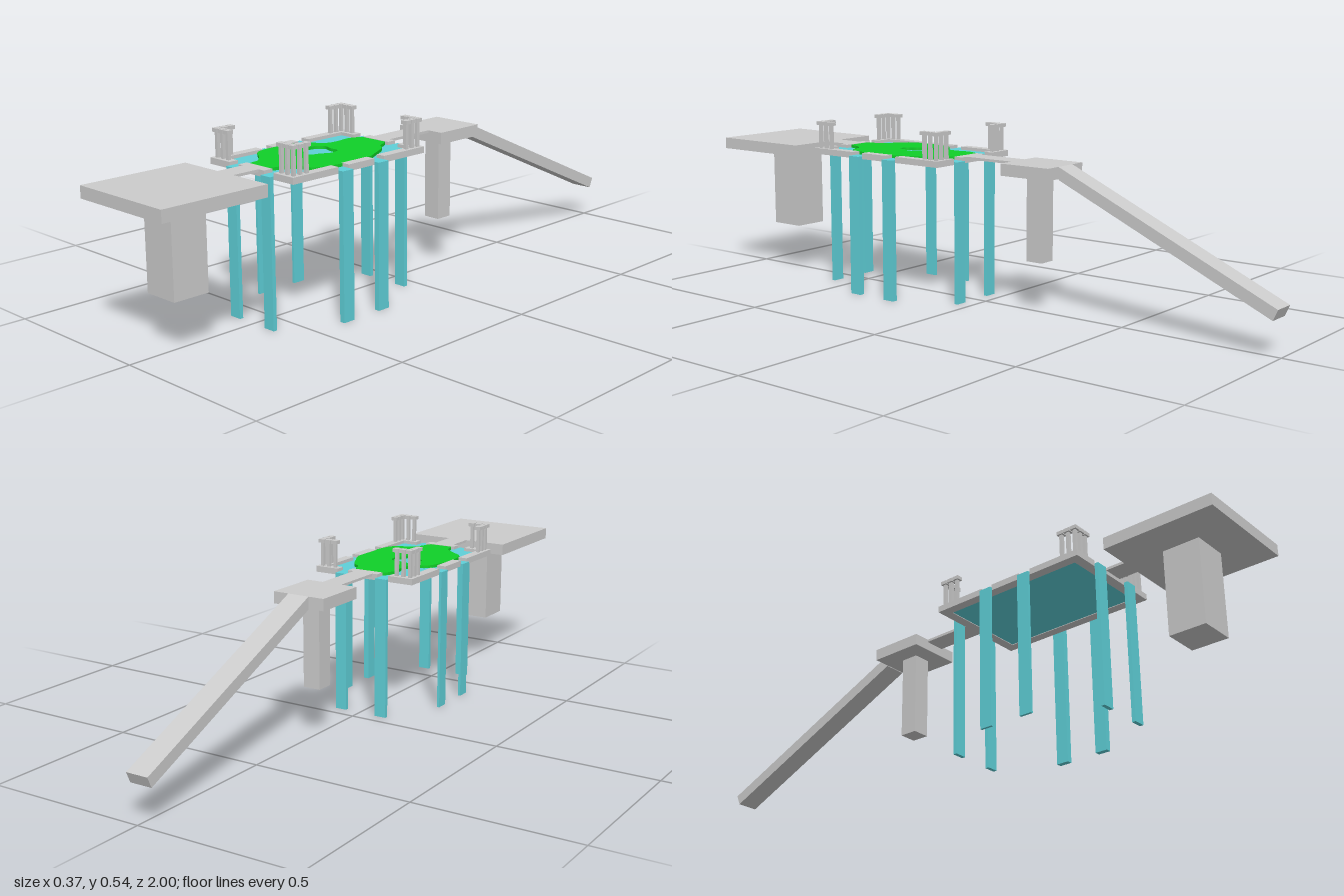
import * as THREE from 'three';

const grey = new THREE.MeshStandardMaterial({ color: 0xcccccc });
const blue = new THREE.MeshStandardMaterial({ color: 0x5fd0d8 });
const green = new THREE.MeshStandardMaterial({ color: 0x10d028 });

// Garden extents
const X0 = -0.178, X1 = 0.167, Z0 = 0.052, Z1 = 0.568, WALL = 0.03;
const CX = -0.005, DECK = 0.45, WATER = 0.44;

// Closed smooth outline through x,z points
function outline(points) {
  const pts = points.map(([x, z]) => new THREE.Vector2(x, z));
  const curve = new THREE.CatmullRomCurve3(pts.map(p => new THREE.Vector3(p.x, p.y, 0)), true);
  return curve.getPoints(80).slice(0, -1).map(p => new THREE.Vector2(p.x, p.y));
}

// Horizontal slab from an x,z shape
function slab(shape, y0, y1) {
  const geo = new THREE.ExtrudeGeometry(shape, { depth: y1 - y0, bevelEnabled: false });
  return geo.rotateX(Math.PI / 2).translate(0, y1, 0);
}

function rect(x0, x1, z0, z1) {
  return [[x0, z0], [x1, z0], [x1, z1], [x0, z1]].map(p => new THREE.Vector2(...p));
}

export function createModel() {
  const model = new THREE.Group();

  function add(name, geo, mat, parent = model) {
    const mesh = new THREE.Mesh(geo, mat);
    mesh.name = name;
    parent.add(mesh);
    return mesh;
  }
  function box(name, x0, x1, y0, y1, z0, z1, mat = grey, parent = model) {
    const geo = new THREE.BoxGeometry(x1 - x0, y1 - y0, z1 - z0);
    geo.translate((x0 + x1) / 2, (y0 + y1) / 2, (z0 + z1) / 2);
    return add(name, geo, mat, parent);
  }

  // Front and rear platforms on pillars
  box('frontPlatform', X0, X1, 0.414, DECK, 0.657, 1);
  box('frontPillar', CX - 0.057, CX + 0.057, 0.154, 0.414, 0.773, 0.887);
  box('rearPlatform', CX - 0.086, CX + 0.086, 0.414, DECK, -0.293, -0.12);
  box('rearPillar', CX - 0.028, CX + 0.028, 0.154, 0.414, -0.23, -0.174);

  // Thin walkways joining the platforms to the garden
  box('frontWalkway', CX - 0.033, CX + 0.033, 0.442, DECK, Z1, 0.657);
  box('rearWalkway', CX - 0.033, CX + 0.033, 0.442, DECK, -0.12, Z0);

  // Sloping ramp: side profile in (-z, y), extruded across x
  const profile = new THREE.Shape([
    [0.293, 0.412], [0.986, 0.105], [1, 0.137], [0.293, DECK],
  ].map(p => new THREE.Vector2(...p)));
  const ramp = new THREE.ExtrudeGeometry(profile, { depth: 0.07, bevelEnabled: false });
  add('ramp', ramp.rotateY(Math.PI / 2).translate(CX - 0.035, 0, 0), grey);

  // Basin frame and water
  const ring = new THREE.Shape(rect(X0, X1, Z0, Z1));
  ring.holes.push(new THREE.Path(rect(X0 + WALL, X1 - WALL, Z0 + WALL, Z1 - WALL)));
  add('basinFrame', slab(ring, 0.431, 0.437), grey);
  box('water', X0 + WALL, X1 - WALL, 0.433, WATER, Z0 + WALL, Z1 - WALL, blue);

  // Kerbs, broken where the water spills out
  const gapsX = [[-0.095, -0.056], [0.05, 0.088]];
  const gapsZ = [[0.22, 0.26], [0.36, 0.4]];
  const kerbs = new THREE.Group();
  kerbs.name = 'kerbs';
  const falls = new THREE.Group();
  falls.name = 'waterfalls';
  model.add(kerbs, falls);
  const spans = (a, b, gaps) => [[a, gaps[0][0]], [gaps[0][1], gaps[1][0]], [gaps[1][1], b]];
  for (const z of [Z0, Z1 - WALL])
    for (const [a, b] of spans(X0, X1, gapsX)) box('endKerb', a, b, 0.437, DECK, z, z + WALL, grey, kerbs);
  for (const x of [X0, X1 - WALL])
    for (const [a, b] of spans(Z0 + WALL, Z1 - WALL, gapsZ)) box('sideKerb', x, x + WALL, 0.437, DECK, a, b, grey, kerbs);

  // Spillways and falling sheets of water
  for (const [a, b] of gapsX) {
    box('spillway', a, b, 0.437, WATER, Z0, Z0 + WALL, blue, falls);
    box('spillway', a, b, 0.437, WATER, Z1 - WALL, Z1, blue, falls);
    box('waterfall', a, b, 0, WATER, Z0 - 0.012, Z0, blue, falls);
    box('waterfall', a, b, 0, WATER, Z1, Z1 + 0.012, blue, falls);
  }
  for (const [a, b] of gapsZ) {
    box('spillway', X0, X0 + WALL, 0.437, WATER, a, b, blue, falls);
    box('spillway', X1 - WALL, X1, 0.437, WATER, a, b, blue, falls);
    box('waterfall', X0 - 0.008, X0, 0, WATER, a, b, blue, falls);
    box('waterfall', X1, X1 + 0.017, 0, WATER, a, b, blue, falls);
  }

  // Grassy island with a pond opening
  const island = new THREE.Shape(outline([
    [-0.05, 0.08], [0.035, 0.08], [0.06, 0.125], [0.085, 0.145], [0.115, 0.2], [0.137, 0.25],
    [0.137, 0.4], [0.115, 0.45], [0.07, 0.465], [0.045, 0.5], [0.03, 0.538], [-0.045, 0.538],
    [-0.055, 0.5], [-0.09, 0.465], [-0.135, 0.43], [-0.147, 0.375], [-0.14, 0.295],
    [-0.125, 0.25], [-0.08, 0.22], [-0.07, 0.18], [-0.075, 0.12],
  ]));
  island.holes.push(new THREE.Path(outline([
    [-0.07, 0.265], [-0.05, 0.245], [-0.02, 0.253], [0.015, 0.257], [0.025, 0.295],
    [0.01, 0.32], [0, 0.35], [-0.03, 0.35], [-0.045, 0.32], [-0.07, 0.3],
  ])));
  add('island', slab(island, 0.438, 0.449), green);

  // L-shaped clusters of capped posts at the four corners
  const pitch = 0.0232, inset = 0.015;
  for (const sx of [-1, 1]) for (const sz of [-1, 1]) {
    const corner = new THREE.Group();
    corner.name = 'cornerPosts';
    model.add(corner);
    for (const [i, j] of [[0, 0], [1, 0], [2, 0], [0, 1], [0, 2]]) {
      const x = (sx < 0 ? X0 : X1) - sx * (inset + i * pitch);
      const z = (sz < 0 ? Z0 : Z1) - sz * (inset + j * pitch);
      box('post', x - 0.005, x + 0.005, DECK, 0.525, z - 0.005, z + 0.005, grey, corner);
      box('postCap', x - 0.01, x + 0.01, 0.524, 0.535, z - 0.01, z + 0.01, grey, corner);
    }
  }
  return model;
}
